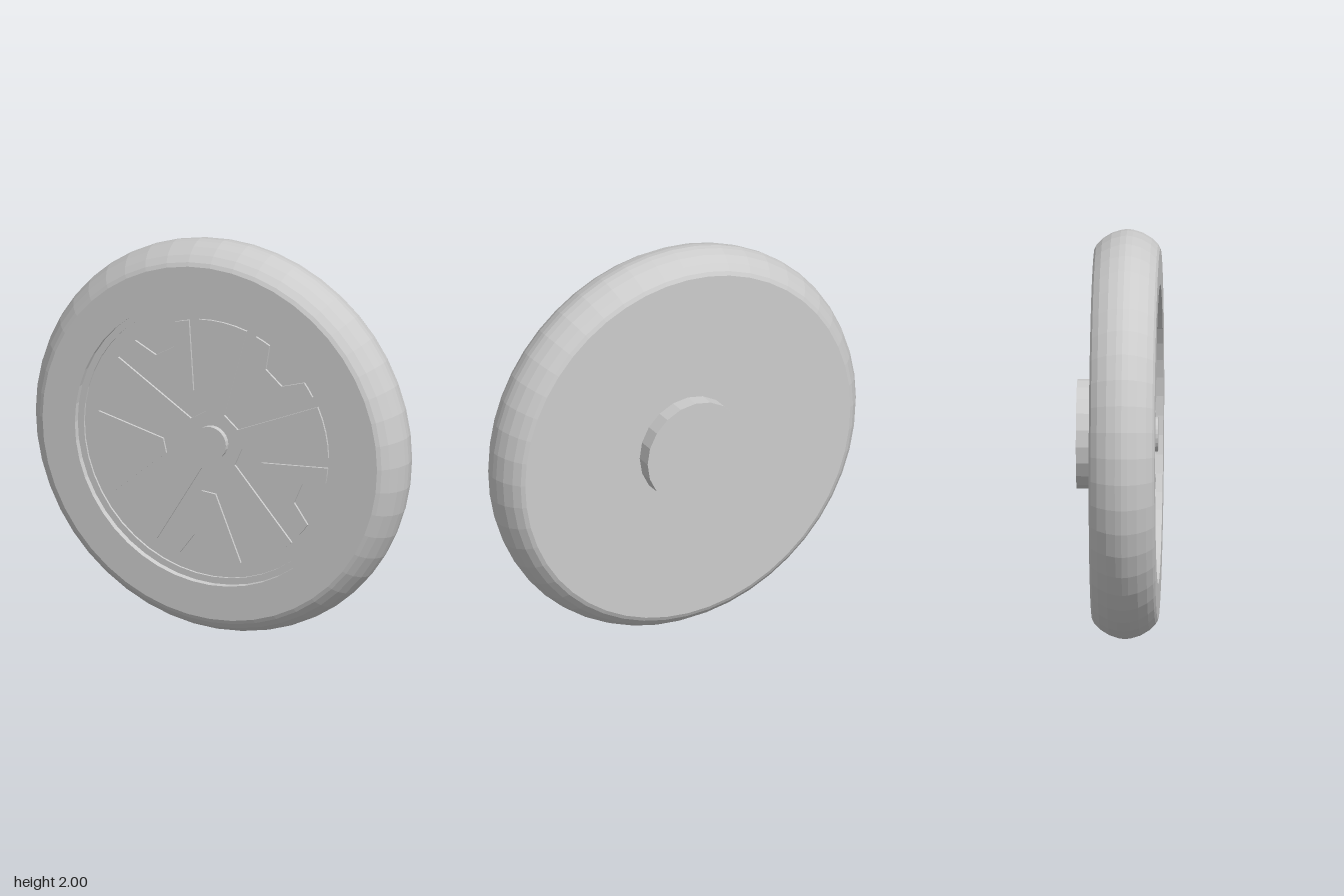
import * as THREE from 'three';

const material = new THREE.MeshStandardMaterial({ color: 0xcccccc, flatShading: true });
const FLOOR = 0.155; // recessed wheel face
const RELIEF = 0.012; // height of the raised pattern
const SPOKE_AXIS = 13; // degrees, first spoke
const STEP = 72;

function add(group, name, geometry) {
  const mesh = new THREE.Mesh(geometry, material);
  mesh.name = name;
  group.add(mesh);
  return mesh;
}

// Turned part around the wheel axle; profile is [radius, z] from back to front
function turned(profile, sides) {
  const points = profile.map(([r, z]) => new THREE.Vector2(r, z));
  return new THREE.LatheGeometry(points, sides).rotateX(Math.PI / 2);
}

// Flat raised piece from [radius, degrees] corners
function relief(corners) {
  const points = corners.map(([r, deg]) => {
    const a = THREE.MathUtils.degToRad(deg);
    return new THREE.Vector2(r * Math.cos(a), r * Math.sin(a));
  });
  const geometry = new THREE.ExtrudeGeometry(new THREE.Shape(points), { depth: RELIEF + 0.01, bevelEnabled: false });
  return geometry.translate(0, 0, FLOOR - 0.01);
}

export function createModel() {
  const wheel = new THREE.Group();
  wheel.name = 'wheel';

  // Tyre with flat side walls, rounded tread and a recessed front face
  add(wheel, 'tyre', turned([
    [0, -0.12], [0.905, -0.12], [0.925, -0.11], [0.955, -0.08], [0.982, -0.035],
    [0.996, 0.01], [1, 0.04], [0.996, 0.07], [0.982, 0.115], [0.955, 0.16],
    [0.925, 0.19], [0.905, 0.2], [0.73, 0.2], [0.73, FLOOR], [0, FLOOR],
  ], 48));

  // Low lip around the recess
  add(wheel, 'rimLip', turned([[0.73, FLOOR + RELIEF], [0.697, FLOOR + RELIEF], [0.697, FLOOR]], 48));

  // Five-armed spoke star
  const star = [];
  for (let i = 0; i < 5; i++) {
    const axis = SPOKE_AXIS + i * STEP;
    star.push([0.157, axis - 18]);
    for (let d = -12; d <= 12; d += 6) star.push([0.625, axis + d]);
    star.push([0.157, axis + 18]);
  }
  add(wheel, 'spokes', relief(star));

  // Notched panels between the spokes
  for (let i = 0; i < 5; i++) {
    const axis = SPOKE_AXIS + (i + 0.5) * STEP;
    add(wheel, 'panel', relief([
      [0.27, axis - 8], [0.622, axis - 19], [0.622, axis - 15], [0.622, axis - 11.5], [0.505, axis - 6.5],
      [0.505, axis + 6.5], [0.622, axis + 11.5], [0.622, axis + 15], [0.622, axis + 19], [0.27, axis + 8],
    ]));
  }

  // Centre cap at the front and mounting boss at the back
  add(wheel, 'centreCap', turned([[0.085, FLOOR], [0.085, 0.195], [0, 0.195]], 24));
  add(wheel, 'rearBoss', turned([[0, -0.2], [0.268, -0.2], [0.268, -0.12]], 20));

  wheel.position.y = 1;
  const model = new THREE.Group();
  model.name = 'wheelModel';
  model.add(wheel);
  return model;
}
